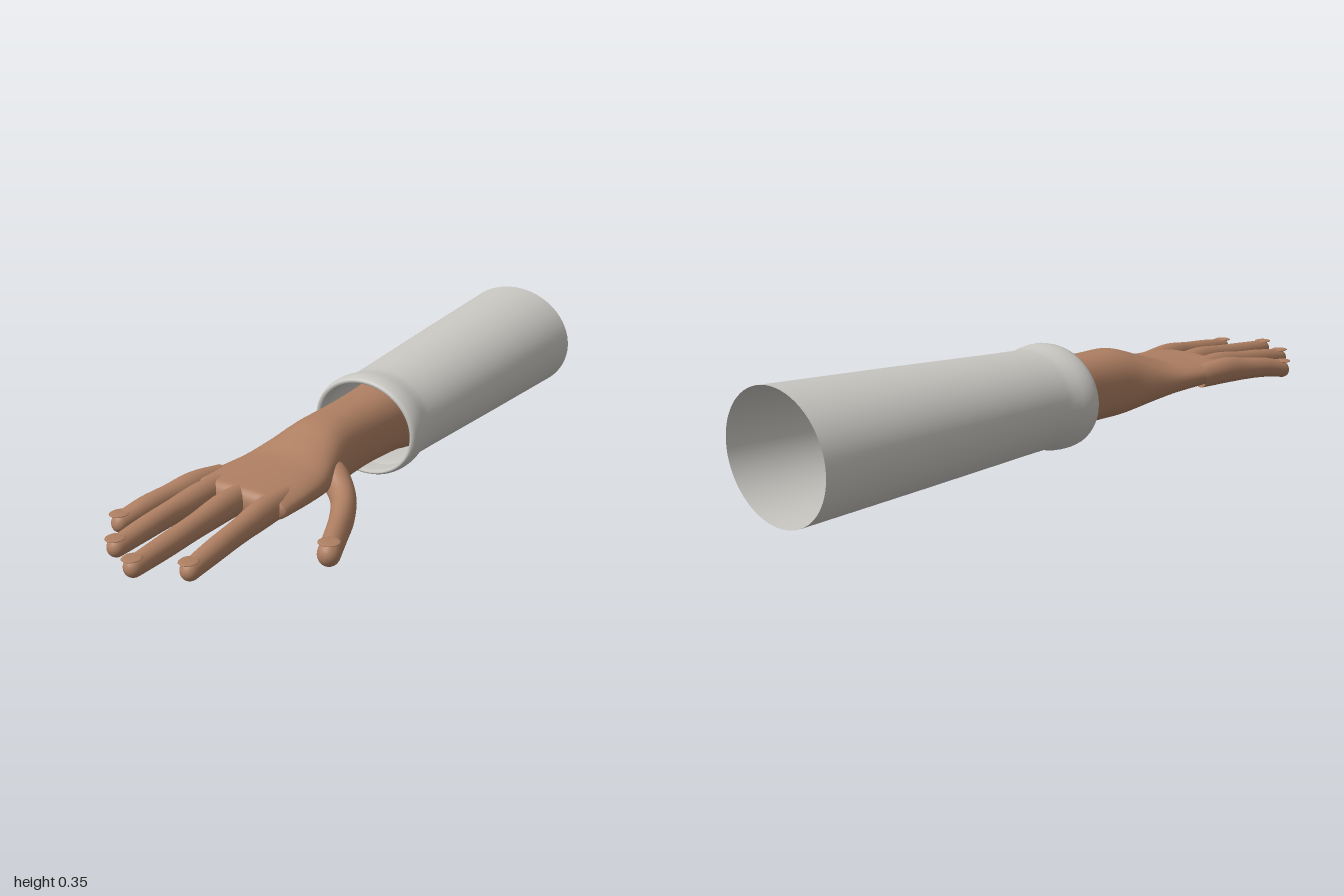
import * as THREE from 'three';

const skin = new THREE.MeshStandardMaterial({ color: 0xae7f62, side: THREE.DoubleSide });
skin.name = 'skin';
const cloth = new THREE.MeshStandardMaterial({ color: 0xc9c7c2, side: THREE.DoubleSide });
cloth.name = 'sleeve cloth';

// Skins oval sections [x, y, z, rx, ry] along a smooth path.
// steps: rings per section, tip: length of the rounded end, power: below 1 makes the oval boxier
function loft(sections, { sides = 28, steps = 5, tip = 0, power = 1, straight = false } = {}) {
  const centres = new THREE.CatmullRomCurve3(
    sections.map(s => new THREE.Vector3(s[0], s[1], s[2])), false, 'catmullrom', 0.5);
  const radii = new THREE.CatmullRomCurve3(
    sections.map(s => new THREE.Vector3(s[3], s[4], 0)), false, 'catmullrom', 0.5);
  const up = new THREE.Vector3(0, 1, 0);
  const position = [], index = [];
  let rings = 0;

  const addRing = (c, side, rx, ry) => {
    for (let j = 0; j < sides; j++) {
      const a = (j / sides) * Math.PI * 2;
      const ca = Math.cos(a), sa = Math.sin(a);
      const u = Math.sign(ca) * Math.abs(ca) ** power * rx;
      const v = Math.sign(sa) * Math.abs(sa) ** power * ry;
      position.push(c.x + side.x * u, c.y + v, c.z + side.z * u);
    }
    rings++;
  };

  const count = (sections.length - 1) * steps;
  for (let i = 0; i <= count; i++) {
    const t = i / count;
    const c = centres.getPoint(t), r = radii.getPoint(t);
    const dir = straight ? new THREE.Vector3(0, 0, 1) : centres.getTangent(t);
    const side = new THREE.Vector3().crossVectors(up, dir).normalize();
    addRing(c, side, r.x, r.y);
    if (i === count && tip > 0) {
      for (let k = 1; k <= 7; k++) {
        const a = (k / 7) * Math.PI / 2;
        const shrink = Math.max(Math.cos(a), 0.001);
        addRing(c.clone().addScaledVector(dir, tip * Math.sin(a)), side, r.x * shrink, r.y * shrink);
      }
    }
  }
  for (let i = 0; i < rings - 1; i++) {
    for (let j = 0; j < sides; j++) {
      const k = (j + 1) % sides;
      const a = i * sides + j, b = i * sides + k;
      index.push(a, b, a + sides, b, b + sides, a + sides);
    }
  }
  const geo = new THREE.BufferGeometry();
  geo.setAttribute('position', new THREE.Float32BufferAttribute(position, 3));
  geo.setIndex(index);
  geo.computeVertexNormals();
  return geo;
}

export function createModel() {
  const model = new THREE.Group();
  model.name = 'sleevedHand';
  const add = (name, geo, material, parent = model) => {
    const mesh = new THREE.Mesh(geo, material);
    mesh.name = name;
    parent.add(mesh);
    return mesh;
  };

  // Open sleeve, flaring to the back, with a rolled cuff
  add('sleeve', loft([
    [-0.05, 0.18, -1, 0.206, 0.176],
    [-0.05, 0.174, -0.6, 0.188, 0.161],
    [-0.05, 0.168, -0.22, 0.17, 0.145],
    [-0.05, 0.167, -0.15, 0.167, 0.143],
    [-0.05, 0.166, -0.125, 0.169, 0.145],
    [-0.05, 0.165, -0.1, 0.175, 0.151],
    [-0.05, 0.165, -0.08, 0.178, 0.153],
    [-0.05, 0.165, -0.06, 0.178, 0.153],
    [-0.05, 0.164, -0.045, 0.175, 0.15],
    [-0.05, 0.164, -0.036, 0.17, 0.146],
    [-0.05, 0.163, -0.035, 0.163, 0.14],
    [-0.05, 0.163, -0.04, 0.158, 0.136],
    [-0.05, 0.163, -0.055, 0.157, 0.135],
    [-0.05, 0.163, -0.1, 0.159, 0.137],
  ], { sides: 64, steps: 1, straight: true }), cloth);

  // Forearm, wrist and palm in one skin
  const hand = new THREE.Group();
  hand.name = 'hand';
  model.add(hand);
  add('wristAndPalm', loft([
    [-0.05, 0.167, -0.25, 0.001, 0.001],
    [-0.05, 0.167, -0.245, 0.118, 0.112],
    [-0.053, 0.167, -0.12, 0.104, 0.106],
    [-0.055, 0.167, 0, 0.096, 0.101],
    [-0.055, 0.166, 0.1, 0.095, 0.101],
    [-0.053, 0.165, 0.2, 0.103, 0.099],
    [-0.053, 0.161, 0.28, 0.123, 0.079],
    [-0.055, 0.158, 0.36, 0.144, 0.056],
    [-0.058, 0.159, 0.45, 0.156, 0.047],
    [-0.062, 0.16, 0.55, 0.161, 0.041],
  ], { sides: 40, tip: 0.03, power: 0.85, straight: true }), skin, hand);

  // Fingers: base x, middle x, tip x, tip z, tip y
  const fingers = [
    ['littleFinger', -0.188, -0.224, -0.256, 0.815, 0.139],
    ['ringFinger', -0.138, -0.154, -0.162, 0.932, 0.144],
    ['middleFinger', -0.058, -0.051, -0.05, 0.995, 0.148],
    ['indexFinger', 0.045, 0.059, 0.071, 0.93, 0.145],
  ];
  // Thin oval nail lying on a fingertip
  const addNail = (name, x, y, z, yaw, width) => {
    const nail = add(name, new THREE.SphereGeometry(1, 20, 10), skin, hand);
    nail.scale.set(width, 0.004, 0.028);
    nail.position.set(x, y, z);
    nail.rotation.y = yaw;
  };
  for (const [name, bx, mx, tx, tz, ty] of fingers) {
    const end = tz - 0.026, start = 0.46;
    const at = f => start + (end - start) * f;
    const mid = (bx + mx) / 2;
    add(name, loft([
      [bx, 0.158, at(0), 0.03, 0.036],
      [mid, 0.164, at(0.3), 0.034, 0.04],
      [mx, 0.159, at(0.55), 0.029, 0.034],
      [(mx + tx) / 2, 0.153, at(0.78), 0.029, 0.031],
      [tx, ty, at(1), 0.026, 0.027],
    ], { sides: 20, tip: 0.026 }), skin, hand);
    addNail(name + 'Nail', tx, ty + 0.025, tz - 0.022, Math.atan2(tx - mx, 0.25), 0.025);
  }

  // Thumb swings out and below the palm
  add('thumb', loft([
    [0.01, 0.148, 0.24, 0.04, 0.045],
    [0.065, 0.14, 0.275, 0.04, 0.046],
    [0.118, 0.112, 0.32, 0.036, 0.044],
    [0.16, 0.094, 0.39, 0.034, 0.042],
    [0.198, 0.093, 0.47, 0.032, 0.038],
    [0.248, 0.096, 0.578, 0.031, 0.034],
  ], { sides: 24, tip: 0.031 }), skin, hand);
  addNail('thumbNail', 0.249, 0.13, 0.578, 0.43, 0.03);

  return model;
}
